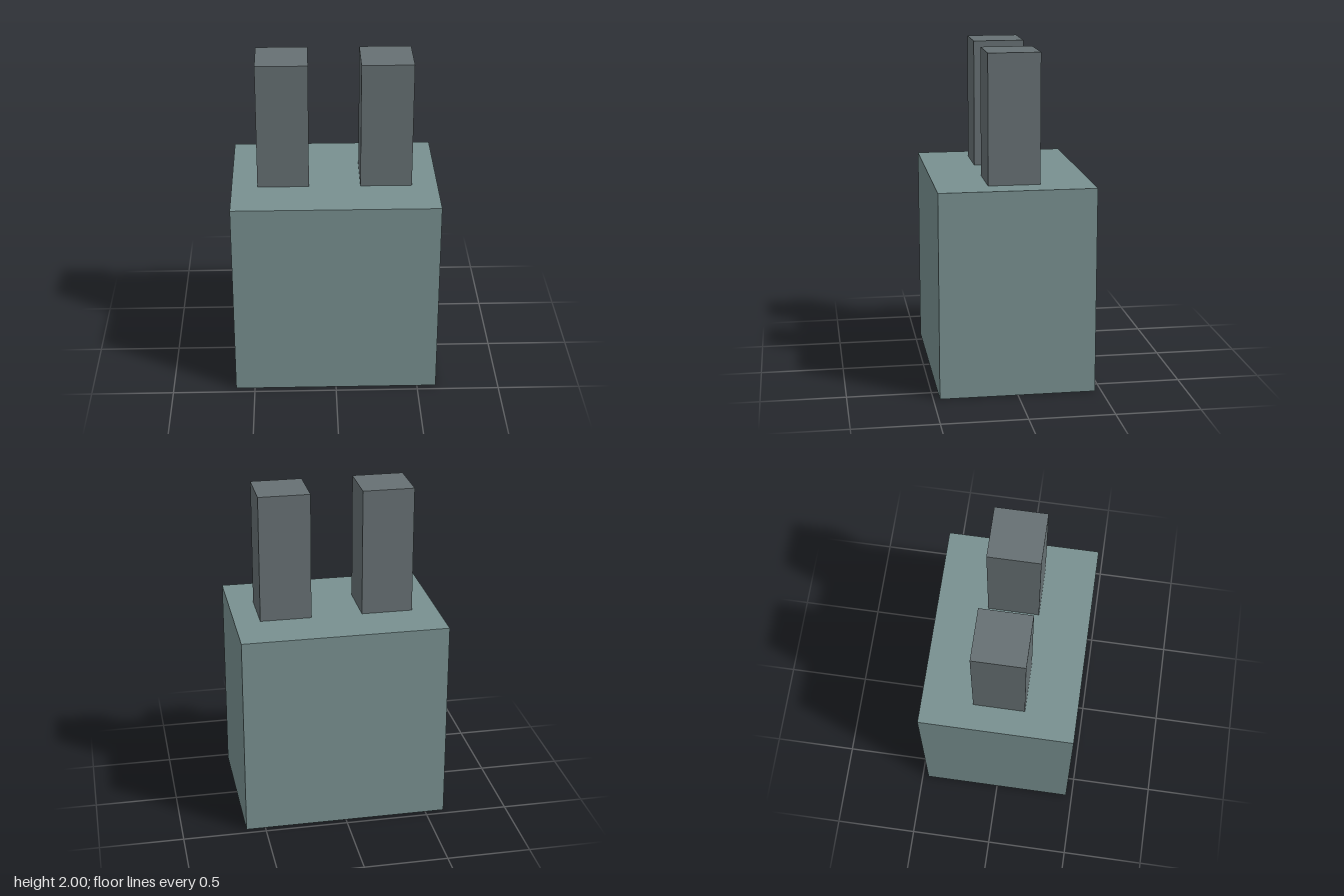
import * as THREE from 'three';

// The whole model sits on a 13-unit-high block grid.
const U = 2 / 13;

function block(name, color, [w, h, d], [x, bottom, z]) {
  const mesh = new THREE.Mesh(
    new THREE.BoxGeometry(w * U, h * U, d * U),
    new THREE.MeshStandardMaterial({ color })
  );
  mesh.name = name;
  mesh.position.set(x * U, (bottom + h / 2) * U, z * U);
  return mesh;
}

export function createModel() {
  const model = new THREE.Group();
  model.name = 'blockHead';

  // Main block
  model.add(block('head', 0x789090, [8, 8, 6], [0, 0, 0]));

  // Pair of upright ears standing on top
  for (const [name, side] of [['leftEar', 1], ['rightEar', -1]]) {
    model.add(block(name, 0x667073, [2, 5, 2], [side * 2, 8, 0]));
  }
  return model;
}
